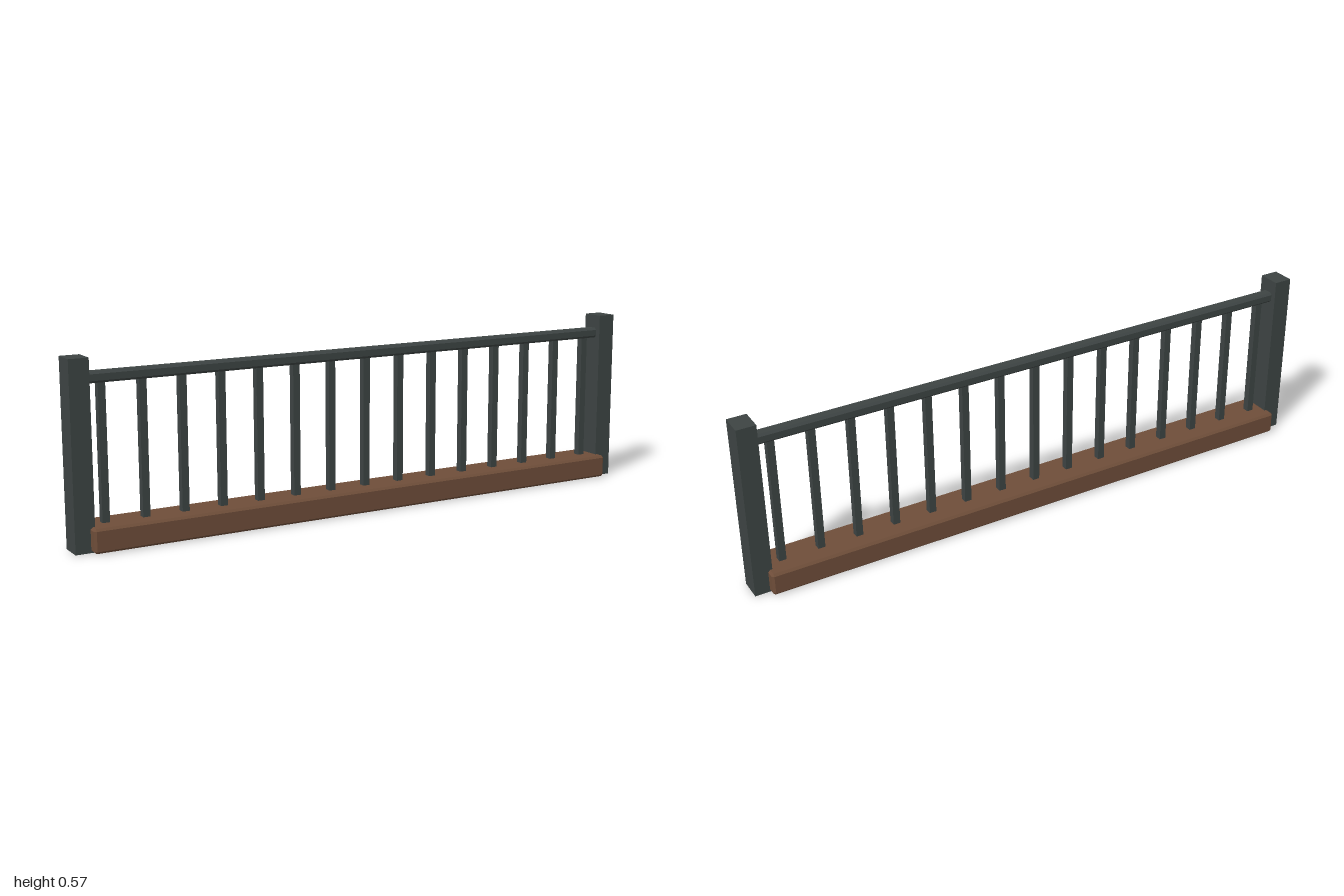
import * as THREE from 'three';
import { ConvexGeometry } from 'three/addons/geometries/ConvexGeometry.js';

// Box with every edge cut by a flat chamfer
function chamferBox(w, h, d, c) {
  const half = [w / 2, h / 2, d / 2];
  const points = [];
  for (const sx of [-1, 1]) for (const sy of [-1, 1]) for (const sz of [-1, 1]) {
    for (let axis = 0; axis < 3; axis++) {
      const p = half.map((v, i) => (i === axis ? v : v - c));
      points.push(new THREE.Vector3(sx * p[0], sy * p[1], sz * p[2]));
    }
  }
  return new ConvexGeometry(points);
}

export function createModel() {
  const group = new THREE.Group();
  group.name = 'railing';

  const metal = new THREE.MeshStandardMaterial({ color: 0x3d4443 });
  metal.name = 'dark metal';
  const wood = new THREE.MeshStandardMaterial({ color: 0x6e4d39 });
  wood.name = 'brown wood';

  const add = (name, geometry, material, x, y, z = 0) => {
    const mesh = new THREE.Mesh(geometry, material);
    mesh.name = name;
    mesh.position.set(x, y, z);
    group.add(mesh);
  };

  // Wooden base beam
  add('baseBeam', chamferBox(1.904, 0.075, 0.14, 0.007), wood, 0, 0.0395);

  // End posts
  const postGeometry = new THREE.BoxGeometry(0.062, 0.574, 0.076);
  add('leftPost', postGeometry, metal, 0.969, 0.287);
  add('rightPost', postGeometry, metal, -0.969, 0.287);

  // Handrail
  add('handrail', chamferBox(1.9, 0.034, 0.04, 0.007), metal, 0, 0.512);

  // Evenly spaced balusters between beam and handrail
  const count = 15;
  const barGeometry = new THREE.BoxGeometry(0.023, 0.44, 0.023);
  for (let i = 0; i < count; i++) {
    const x = -0.893 + (1.786 * i) / (count - 1);
    add(`baluster${i + 1}`, barGeometry, metal, x, 0.285);
  }

  return group;
}
